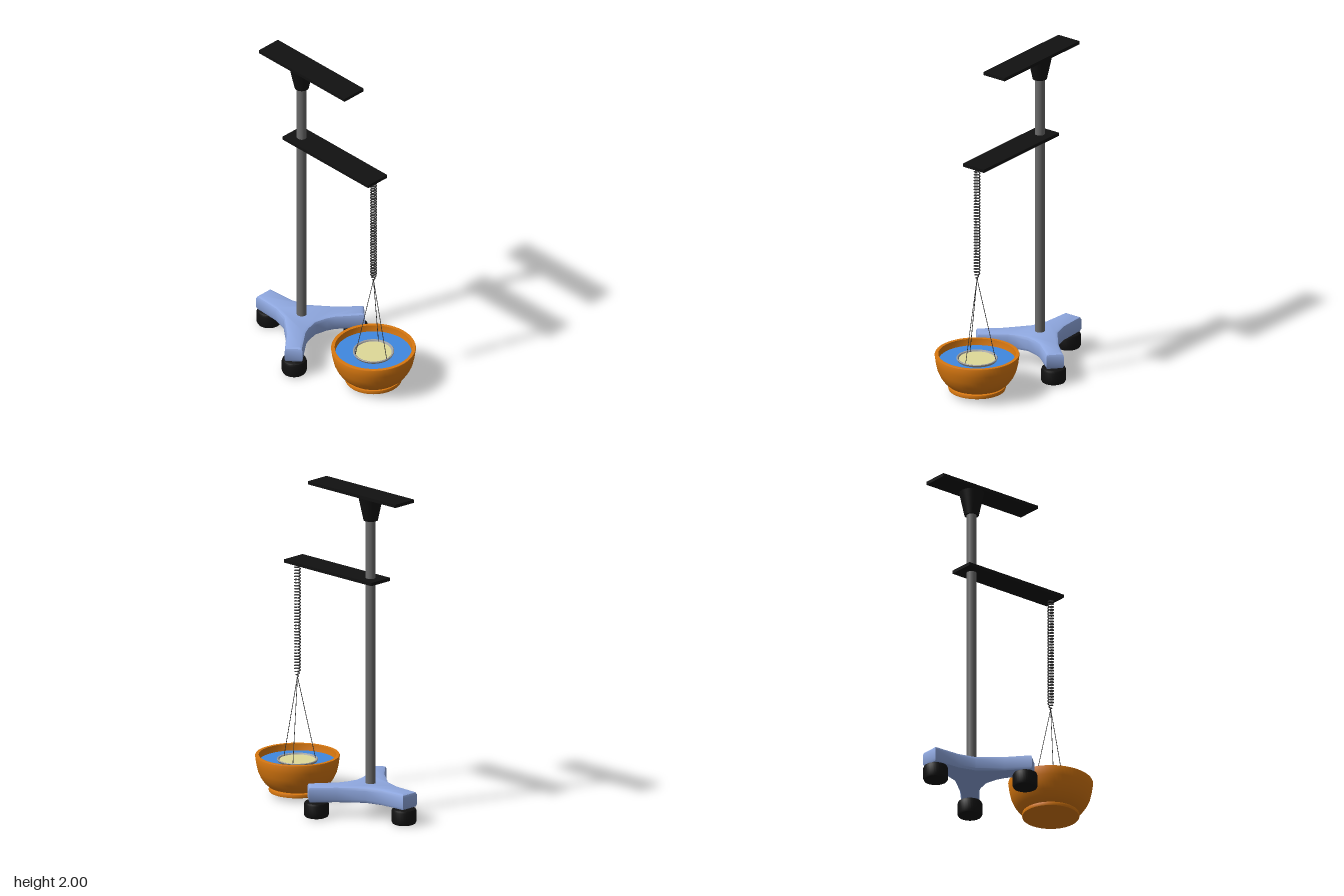
import * as THREE from 'three';
import { toCreasedNormals } from 'three/addons/utils/BufferGeometryUtils.js';

const POLE_Z = -0.257, BOWL_Z = 0.354;
const mat = (color) => new THREE.MeshStandardMaterial({ color });
const v2 = (pts) => pts.map(([x, y]) => new THREE.Vector2(x, y));

export function createModel() {
  const model = new THREE.Group();
  const black = mat(0x111111), steel = mat(0x6b6b6b), wire = mat(0x333333);
  const paint = mat(0x8fa8e0), orange = mat(0xd9780f), blue = mat(0x4088e0);
  const cream = mat(0xded998), silver = mat(0xa0a0a0);

  const add = (name, geometry, material, x = 0, y = 0, z = 0) => {
    const mesh = new THREE.Mesh(geometry, material);
    mesh.name = name;
    mesh.position.set(x, y, z);
    model.add(mesh);
    return mesh;
  };
  const lathe = (pts, segments = 48) =>
    toCreasedNormals(new THREE.LatheGeometry(v2(pts), segments), 0.6);

  // Three-legged base: half outline mirrored, extruded upward with a rounded edge
  const half = [[0.06, -0.585], [0.07, -0.41], [0.1, -0.31], [0.21, -0.175],
    [0.333, -0.064], [0.262, 0.016], [0.12, -0.096], [0.075, -0.117]];
  const outline = [...half, [0, -0.135], ...half.map(([x, z]) => [-x, z]).reverse()];
  const base = new THREE.ExtrudeGeometry(new THREE.Shape(v2(outline.map(([x, z]) => [x, -z]))), {
    depth: 0.06, bevelSize: 0.02, bevelThickness: 0.02, bevelOffset: -0.02, bevelSegments: 2,
  });
  base.rotateX(-Math.PI / 2);
  add('base', toCreasedNormals(base, 0.5), paint, 0, 0.117, 0);

  // Rounded feet
  const foot = lathe([[0, 0], [0.06, 0], [0.07, 0.005], [0.075, 0.016],
    [0.075, 0.08], [0.07, 0.092], [0.06, 0.097], [0, 0.097]], 32);
  for (const [x, z] of [[0.26, -0.057], [-0.26, -0.057], [0, -0.535]]) add('foot', foot, black, x, 0, z);

  // Pole, top socket and the two flat arms
  add('pole', new THREE.CylinderGeometry(0.03, 0.03, 1.7, 32), steel, 0, 1.03, POLE_Z);
  add('topSocket', new THREE.CylinderGeometry(0.075, 0.043, 0.15, 32), black, 0, 1.907, POLE_Z);
  const plate = new THREE.BoxGeometry(0.16, 0.02, 0.73);
  add('topPlate', plate, black, 0, 1.99, -0.176);
  add('hangingArm', plate, black, 0, 1.463, 0.025);

  // Coil spring narrowing at its lower end
  class Coil extends THREE.Curve {
    getPoint(t, target = new THREE.Vector3()) {
      const a = t * 38 * 2 * Math.PI;
      const r = 0.017 * Math.min(1, 0.15 + (1 - t) * 14);
      return target.set(Math.cos(a) * r, -0.725 * t, Math.sin(a) * r);
    }
  }
  add('spring', new THREE.TubeGeometry(new Coil(), 38 * 16, 0.0038, 6), wire, 0, 1.455, BOWL_Z);

  // Three strings running from the spring to the pan
  for (let i = 0; i < 3; i++) {
    const a = (i * 2 * Math.PI) / 3;
    const line = new THREE.LineCurve3(new THREE.Vector3(0, 0.735, 0),
      new THREE.Vector3(Math.sin(a) * 0.115, 0.205, Math.cos(a) * 0.115));
    add('string', new THREE.TubeGeometry(line, 1, 0.002, 6), wire, 0, 0, BOWL_Z);
  }

  // Bowl with a flared foot and thick rim
  add('bowl', lathe([[0, 0.025], [0.17, 0.025], [0.173, 0.035], [0.17, 0.047], [0.152, 0.05],
    [0.172, 0.057], [0.198, 0.08], [0.22, 0.112], [0.237, 0.15], [0.247, 0.195], [0.254, 0.245],
    [0.252, 0.25], [0.232, 0.25], [0.228, 0.19], [0.2, 0.13], [0.15, 0.07], [0, 0.06]], 64),
  orange, 0, 0, BOWL_Z);

  // Liquid, floating pan and its contents
  add('water', new THREE.CylinderGeometry(0.229, 0.227, 0.01, 64), blue, 0, 0.204, BOWL_Z);
  add('pan', lathe([[0, 0.17], [0.09, 0.18], [0.115, 0.205], [0.124, 0.222], [0.121, 0.226],
    [0.114, 0.224], [0.107, 0.212], [0, 0.21]]), silver, 0, 0, BOWL_Z);
  add('panContents', new THREE.CylinderGeometry(0.109, 0.105, 0.008, 48), cream, 0, 0.214, BOWL_Z);

  return model;
}
